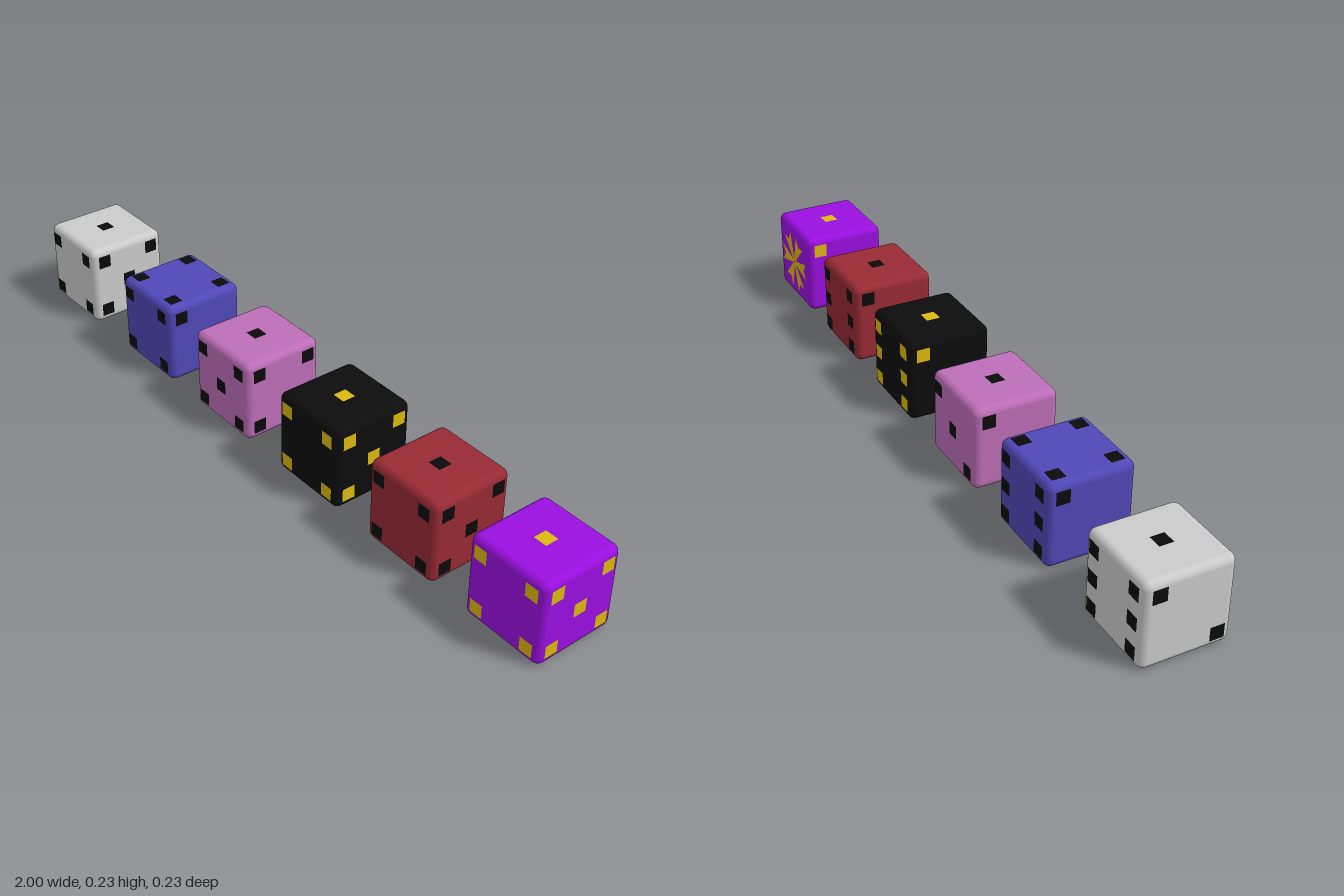
import * as THREE from 'three';
import { RoundedBoxGeometry } from 'three/addons/geometries/RoundedBoxGeometry.js';

const SIZE = 0.23, HALF = SIZE / 2, PIP = 0.037, P = 0.077, LIFT = 0.001;

// Pip positions for each face value
const CORNERS = [[-P, P], [P, P], [-P, -P], [P, -P]];
const DIAGONAL = [[-P, P], [P, -P]];
const CENTRE = [[0, 0]];
const PIPS = {
  1: CENTRE,
  2: DIAGONAL,
  3: [...DIAGONAL, ...CENTRE],
  4: CORNERS,
  5: [...CORNERS, ...CENTRE],
  6: [...CORNERS, [-P, 0], [P, 0]],
};

// Rotation that turns a +z facing panel onto each side
const SIDES = {
  front: [0, 0],
  back: [0, Math.PI],
  left: [0, Math.PI / 2],
  right: [0, -Math.PI / 2],
  top: [-Math.PI / 2, 0],
  bottom: [Math.PI / 2, 0],
};

const STANDARD = { front: 4, back: 6, left: 5, right: 2, top: 1, bottom: 3 };

const DICE = [
  { name: 'greyDie', x: -0.885, body: 0xcccccc, pip: 0x0a0a0a },
  { name: 'blueDie', x: -0.5, body: 0x4f48b8, pip: 0x0a0a0a, faces: { top: 4, bottom: 4, left: 2 } },
  { name: 'pinkDie', x: -0.152, body: 0xbd6eb8, pip: 0x0a0a0a, faces: { front: 5, back: 3, left: 4 } },
  { name: 'blackDie', x: 0.205, body: 0x0c0c0c, pip: 0xdcb90f },
  { name: 'redDie', x: 0.549, body: 0x982a34, pip: 0x0a0a0a },
  { name: 'purpleDie', x: 0.885, body: 0x9a0fe0, pip: 0xdcb90f, faces: { back: 'star' } },
];

// One flared arm with a notched end, pointing along +x
function starArmGeometry() {
  const s = new THREE.Shape();
  s.moveTo(0.004, -0.004);
  s.lineTo(0.088, -0.026);
  s.lineTo(0.07, 0);
  s.lineTo(0.088, 0.026);
  s.lineTo(0.004, 0.004);
  s.closePath();
  return new THREE.ShapeGeometry(s);
}

function createDie({ name, x, body, pip, faces = {} }, bodyGeo, pipGeo, armGeo) {
  const die = new THREE.Group();
  die.name = name;
  die.position.set(x, HALF, 0);

  const cube = new THREE.Mesh(bodyGeo, new THREE.MeshStandardMaterial({ color: body }));
  cube.name = 'dieBody';
  die.add(cube);

  const pipMat = new THREE.MeshStandardMaterial({ color: pip });
  const values = { ...STANDARD, ...faces };
  for (const [side, [rx, ry]] of Object.entries(SIDES)) {
    const face = new THREE.Group();
    face.name = side + 'Face';
    face.rotation.set(rx, ry, 0);
    if (values[side] === 'star') {
      for (let i = 0; i < 6; i++) {
        const arm = new THREE.Mesh(armGeo, pipMat);
        arm.name = 'starArm';
        arm.position.z = HALF + LIFT;
        arm.rotation.z = (i * Math.PI) / 3;
        face.add(arm);
      }
    } else {
      for (const [u, v] of PIPS[values[side]]) {
        const dot = new THREE.Mesh(pipGeo, pipMat);
        dot.name = 'pip';
        dot.position.set(u, v, HALF + LIFT);
        face.add(dot);
      }
    }
    die.add(face);
  }
  return die;
}

export function createModel() {
  const model = new THREE.Group();
  model.name = 'diceRow';
  const bodyGeo = new RoundedBoxGeometry(SIZE, SIZE, SIZE, 4, 0.02);
  const pipGeo = new THREE.PlaneGeometry(PIP, PIP);
  const armGeo = starArmGeometry();
  for (const spec of DICE) model.add(createDie(spec, bodyGeo, pipGeo, armGeo));
  return model;
}
